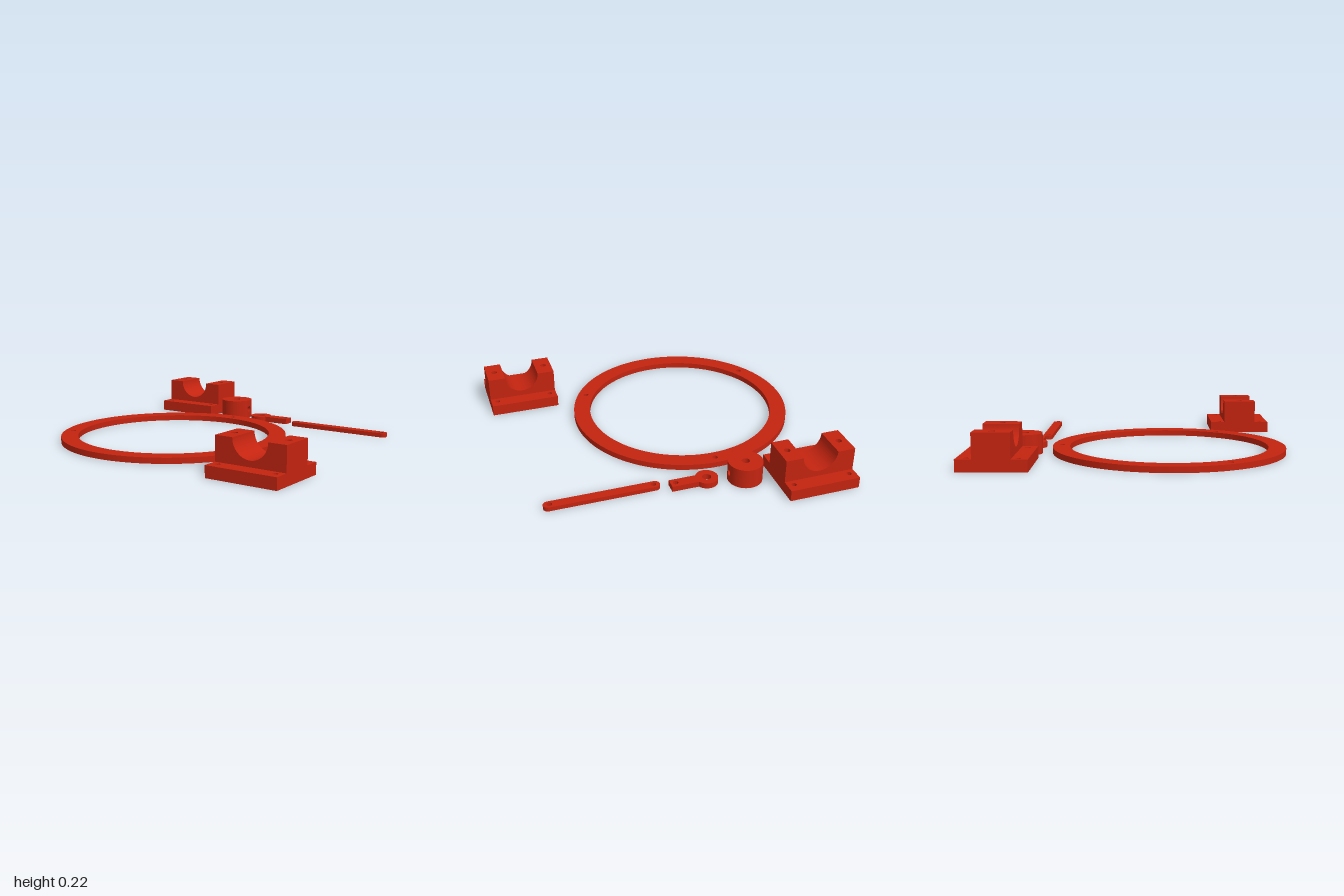
import * as THREE from 'three';
import { toCreasedNormals } from 'three/addons/utils/BufferGeometryUtils.js';

const red = new THREE.MeshStandardMaterial({ color: 0xc42410 });
red.name = 'red plastic';

function part(name, geometry, parent, x = 0, y = 0, z = 0) {
  const mesh = new THREE.Mesh(geometry, red);
  mesh.name = name;
  mesh.position.set(x, y, z);
  parent.add(mesh);
  return mesh;
}

function disc(r) {
  return new THREE.Shape().absarc(0, 0, r, 0, Math.PI * 2, false);
}

function rect(w, d) {
  return new THREE.Shape([[-w, -d], [w, -d], [w, d], [-w, d]].map(([x, y]) => new THREE.Vector2(x, y)));
}

function drill(shape, r, ...centres) {
  for (const [x, y] of centres) {
    shape.holes.push(new THREE.Path().absarc(x, y, r, 0, Math.PI * 2, true));
  }
  return shape;
}

function extrude(shape, depth, curveSegments = 24) {
  const g = new THREE.ExtrudeGeometry(shape, { depth, curveSegments, bevelEnabled: false });
  return toCreasedNormals(g, 0.6);
}

// Extrude a plan outline upwards
function slab(shape, height, curveSegments) {
  return extrude(shape, height, curveSegments).rotateX(-Math.PI / 2);
}

// Bearing block: drilled base, two drilled shoulders and a half-round cradle
function bearingBlock(name, x, z) {
  const W = 0.23, base = 0.073, top = 0.225, D = 0.11, R = 0.115;
  const block = new THREE.Group();
  block.name = name;
  block.position.set(x, 0, z);
  const holes = [[-0.186, -0.148], [0.186, -0.148], [0.186, 0.148], [-0.186, 0.148]];
  part('basePlate', slab(drill(rect(W, 0.206), 0.016, ...holes), base), block);
  for (const side of [-1, 1]) {
    const shoulder = drill(rect((W - R) / 2, D), 0.02, [side * 0.0025, 0]);
    part('shoulder', slab(shoulder, top - base), block, side * (W + R) / 2, base, 0);
  }
  const cradle = new THREE.Shape();
  cradle.moveTo(-R, base);
  cradle.lineTo(R, base);
  cradle.lineTo(R, top);
  cradle.absarc(0, top, R, 0, -Math.PI, true);
  part('cradle', extrude(cradle, 2 * D, 32), block, 0, 0, -D);
  return block;
}

// Round wall of radius R with a circular opening of radius r facing +x
function piercedWall(name, R, r, halfWidth, height, parent, inward) {
  const h = height / 2, n = 12, rows = 6, pos = [], nor = [], idx = [];
  const corners = [[-1, -1], [1, -1], [1, 1], [-1, 1]];
  const count = 4 * n;
  for (let i = 0; i <= count; i++) {
    const k = Math.floor(i / n) % 4, t = (i % n) / n;
    const a = corners[k], b = corners[(k + 1) % 4];
    const u = (a[0] + (b[0] - a[0]) * t) * halfWidth;
    const v = (a[1] + (b[1] - a[1]) * t) * h;
    const len = Math.hypot(u, v);
    for (let j = 0; j <= rows; j++) {
      const f = j / rows;
      const z = THREE.MathUtils.lerp((u / len) * r, u, f);
      const y = THREE.MathUtils.lerp((v / len) * r, v, f);
      const x = Math.sqrt(R * R - z * z);
      const s = inward ? -1 : 1;
      pos.push(x, y, z);
      nor.push((s * x) / R, 0, (s * z) / R);
      if (i < count && j < rows) {
        const p = i * (rows + 1) + j, q = p + rows + 1;
        if (inward) idx.push(p, p + 1, q, q, p + 1, q + 1);
        else idx.push(p, q, p + 1, q, q + 1, p + 1);
      }
    }
  }
  const patch = new THREE.BufferGeometry();
  patch.setAttribute('position', new THREE.Float32BufferAttribute(pos, 3));
  patch.setAttribute('normal', new THREE.Float32BufferAttribute(nor, 3));
  patch.setIndex(idx);
  part(name + 'Opening', patch, parent, 0, h, 0);

  // Remaining arc of the wall
  const half = Math.asin(halfWidth / R);
  const arc = new THREE.CylinderGeometry(R, R, height, 56, 1, true, Math.PI / 2 + half, 2 * (Math.PI - half));
  if (inward) flip(arc);
  part(name, arc, parent, 0, h, 0);
}

// Turn a surface inside out
function flip(g) {
  g.index.array.reverse();
  const normals = g.attributes.normal;
  for (let i = 0; i < normals.array.length; i++) normals.array[i] *= -1;
  return g;
}

// Shaft collar with a through bore and a set-screw hole on its left side
function collar(x, z) {
  const R = 0.11, bore = 0.025, screw = 0.02, H = 0.13;
  const g = new THREE.Group();
  g.name = 'collar';
  g.position.set(x, 0, z);
  part('collarTop', new THREE.RingGeometry(bore, R, 64).rotateX(-Math.PI / 2), g, 0, H, 0);
  part('collarBottom', new THREE.RingGeometry(bore, R, 64).rotateX(Math.PI / 2), g);
  piercedWall('collarWall', R, screw, 0.05, H, g, false);
  piercedWall('collarBore', bore, screw, 0.023, H, g, true);

  // Screw tunnel, its ends fitted to both round walls
  const tunnel = new THREE.CylinderGeometry(screw, screw, 1, 32, 1, true).rotateZ(-Math.PI / 2);
  const p = tunnel.attributes.position;
  for (let i = 0; i < p.count; i++) {
    const end = p.getX(i) > 0 ? R : bore;
    p.setX(i, Math.sqrt(end * end - p.getZ(i) ** 2));
  }
  part('screwHole', flip(tunnel), g, 0, H / 2, 0);
  return g;
}

export function createModel() {
  const model = new THREE.Group();
  model.name = 'mechanicalParts';

  model.add(bearingBlock('backBearingBlock', -0.77, -0.77));
  model.add(bearingBlock('frontBearingBlock', 0.77, 0.77));
  model.add(collar(-0.372, -0.668));

  // Large flat ring with three mounting holes
  const ring = drill(disc(0.74), 0.63, [0, 0]);
  drill(ring, 0.017, ...[90, 210, 330].map((deg) => {
    const a = THREE.MathUtils.degToRad(deg);
    return [0.684 * Math.cos(a), 0.684 * Math.sin(a)];
  }));
  part('mountingRing', slab(ring, 0.037, 96), model, -0.26, 0, 0.237);

  // Short crank arm with a round eye
  const eye = 0.072, arm = 0.036, start = Math.asin(arm / eye);
  const crank = new THREE.Shape();
  crank.moveTo(0.235, -arm);
  crank.lineTo(0.235, arm);
  crank.absarc(0, 0, eye, start, Math.PI * 2 - start, false);
  crank.closePath();
  drill(crank, 0.028, [0, 0]);
  drill(crank, 0.017, [0.203, 0]);
  part('crankArm', slab(crank, 0.037, 32), model, -0.131, 0, -0.631);

  // Long link bar with rounded ends
  const bar = new THREE.Shape();
  bar.absarc(0.333, 0, 0.031, -Math.PI / 2, Math.PI / 2, false);
  bar.absarc(-0.333, 0, 0.031, Math.PI / 2, Math.PI * 1.5, false);
  bar.closePath();
  drill(bar, 0.017, [-0.324, 0], [0.324, 0]);
  part('linkBar', slab(bar, 0.028), model, 0.526, 0, -0.593);

  return model;
}
